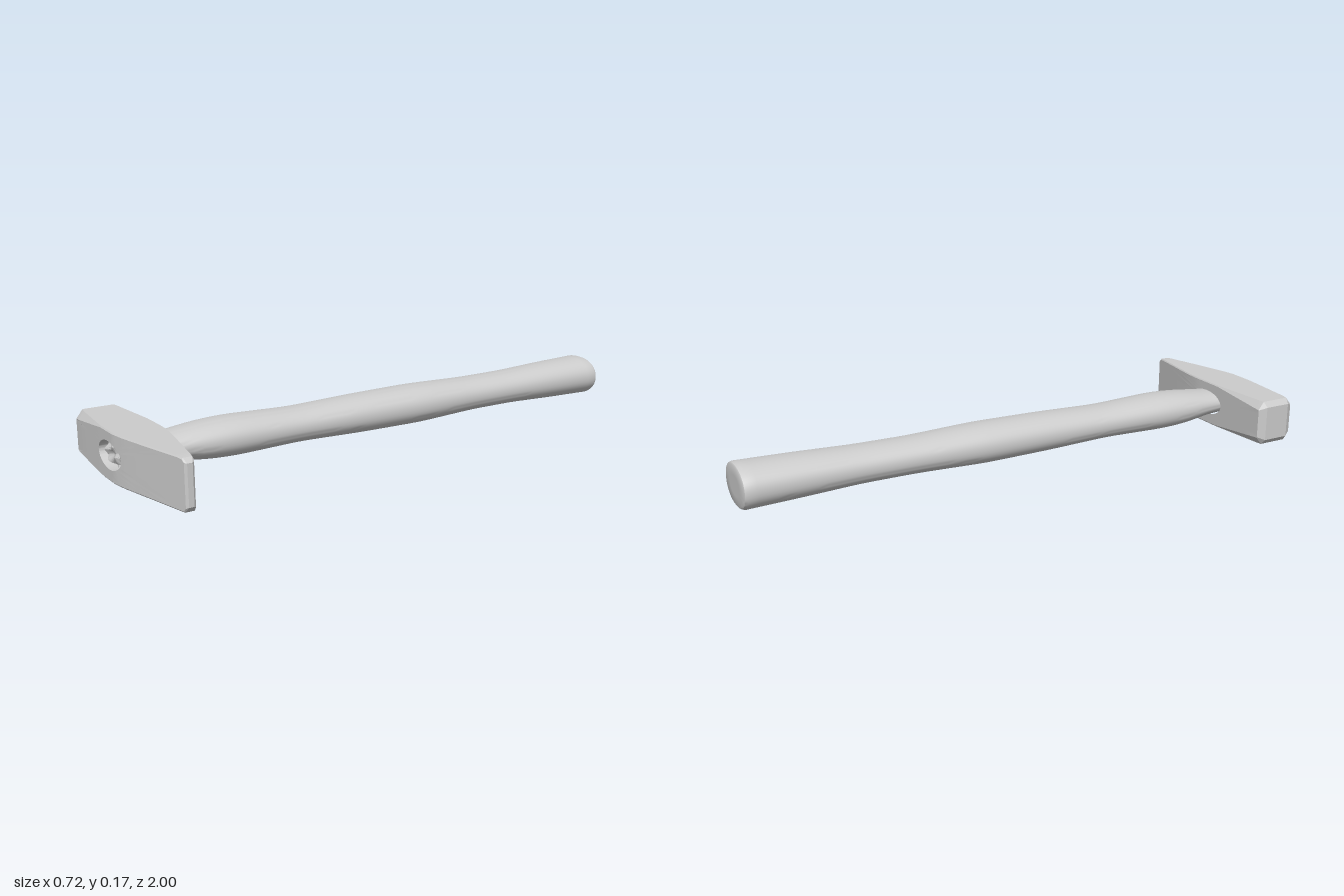
import * as THREE from 'three';
import { toCreasedNormals } from 'three/addons/utils/BufferGeometryUtils.js';

const material = new THREE.MeshStandardMaterial({ color: 0xcccccc });

// Piecewise-linear profile through [position, value] pairs
function profile(points) {
  return (p) => {
    if (p <= points[0][0]) return points[0][1];
    for (let i = 1; i < points.length; i++) {
      const [a, va] = points[i - 1], [b, vb] = points[i];
      if (p <= b) return va + ((vb - va) * (p - a)) / (b - a);
    }
    return points[points.length - 1][1];
  };
}

// Skin a list of closed rings, each an array of [x, y, z]
function skin(rings, crease) {
  const n = rings[0].length, index = [];
  for (let i = 0; i < rings.length - 1; i++) {
    for (let j = 0; j < n; j++) {
      const k = (j + 1) % n;
      const a = i * n + j, b = a + n, c = (i + 1) * n + k, d = i * n + k;
      index.push(a, b, c, a, c, d);
    }
  }
  const g = new THREE.BufferGeometry();
  g.setAttribute('position', new THREE.Float32BufferAttribute(rings.flat(2), 3));
  g.setIndex(index);
  return toCreasedNormals(g, crease);
}

const EYE = { x: -0.04, y: 0.088, rx: 0.086, ry: 0.045 };

function headGeometry() {
  const front = profile([[-0.36, 0.975], [-0.32, 0.983], [-0.15, 0.993], [0, 1], [0.06, 0.993], [0.2, 0.968], [0.357, 0.937]]);
  const back = profile([[-0.36, 0.828], [-0.34, 0.825], [0.03, 0.842], [0.1, 0.852], [0.357, 0.908]]);
  const top = profile([[-0.36, 0.145], [-0.343, 0.164], [0, 0.167], [0.34, 0.164], [0.357, 0.148]]);
  const bottom = profile([[-0.36, 0.022], [-0.343, 0.003], [0, 0.005], [0.2, 0.004], [0.342, 0.001], [0.357, 0.018]]);
  const chamfer = profile([[-0.36, 0.03], [-0.1, 0.004], [0.357, 0.004]]);

  // Outline as [x, v], counter-clockwise, v running -1 (bottom) to 1 (top)
  const xs = [-0.36, -0.343];
  for (let i = 1; i <= 34; i++) xs.push(-0.343 + (0.685 * i) / 34);
  xs.push(0.357);
  const outline = xs.map((x) => [x, -1]);
  for (let i = 1; i < 8; i++) outline.push([0.357, -1 + i / 4]);
  outline.push(...[...xs].reverse().map((x) => [x, 1]));
  for (let i = 1; i < 8; i++) outline.push([-0.36, 1 - i / 4]);

  const body = (sign) => outline.map(([x, v]) => {
    const mid = (top(x) + bottom(x)) / 2, half = (top(x) - bottom(x)) / 2;
    const end = x < -0.35 ? 0.015 : 0.006;
    const drop = Math.max(chamfer(x) * 0.8, Math.abs(x) > 0.35 ? end : 0);
    return [x, mid + v * half, sign > 0 ? front(x) - drop : back(x) + drop];
  });
  const edge = outline.map(([x, v]) => {
    const xi = Math.min(0.351, Math.max(-0.344, x)), c = chamfer(xi);
    const lo = bottom(xi) + c, hi = top(xi) - c;
    return [xi, (lo + hi) / 2 + (v * (hi - lo)) / 2];
  });
  const eye = edge.map(([x, y]) => {
    const a = Math.atan2((y - EYE.y) / 0.08, (x - EYE.x) / 0.2);
    return [EYE.x + EYE.rx * Math.cos(a), EYE.y + EYE.ry * Math.sin(a)];
  });
  const face = (t, z) => eye.map(([x, y], j) => {
    const px = x + (edge[j][0] - x) * t, py = y + (edge[j][1] - y) * t;
    return [px, py, z(px)];
  });

  // Eye wall, front face, body, back face
  const steps = [0, 0.08, 0.25, 0.5, 0.75, 1];
  return skin([
    face(0, () => 0.94),
    ...steps.map((t) => face(t, front)),
    body(1), body(-1),
    ...steps.reverse().map((t) => face(t, back)),
  ], 0.3);
}

function handleGeometry() {
  // Sections: z, left x, right x, bottom y, top y
  const sections = [
    [-1, -0.112, 0.084, 0.02, 0.156], [-0.988, -0.117, 0.088, 0.014, 0.16],
    [-0.8, -0.111, 0.079, 0.019, 0.156], [-0.6, -0.106, 0.07, 0.027, 0.148],
    [-0.4, -0.109, 0.066, 0.027, 0.147], [-0.15, -0.118, 0.073, 0.018, 0.155],
    [0.1, -0.117, 0.067, 0.021, 0.152], [0.35, -0.116, 0.059, 0.029, 0.144],
    [0.6, -0.127, 0.065, 0.023, 0.153], [0.7, -0.125, 0.06, 0.028, 0.148],
    [0.79, -0.115, 0.05, 0.042, 0.137], [0.84, -0.111, 0.045, 0.047, 0.131],
    [0.975, -0.112, 0.043, 0.047, 0.13],
  ];
  const curves = [1, 2, 3, 4].map((k) => profile(sections.map((s) => [s[0], s[k]])));
  const smooth = (f, z) => (z < -0.95 || z > 0.86 ? f(z)
    : (f(z - 0.04) + f(z - 0.02) + f(z) + f(z + 0.02) + f(z + 0.04)) / 5);
  const N = 48;
  const ring = (z, scale = 1, bump = 0) => {
    const [l, r, b, t] = curves.map((f) => smooth(f, z));
    return Array.from({ length: N }, (_, j) => {
      const a = (j / N) * Math.PI * 2, c = Math.cos(a), s = Math.sin(a);
      const round = (v) => Math.sign(v) * Math.abs(v) ** 0.92;
      const x = (l + r) / 2 + ((r - l) / 2) * scale * round(c);
      const y = (b + t) / 2 + ((t - b) / 2) * scale * round(s);
      return [x, y, z + bump * (Math.sin(x * 95 + y * 60) + Math.sin(y * 170 - x * 50))];
    });
  };
  // Rough end grain in the eye, shaft, then slightly domed butt
  const rings = [0, 0.25, 0.5, 0.75, 0.93].map((s) => ring(0.975, s, 0.004));
  rings.push(ring(0.97));
  for (let i = 0; i <= 60; i++) rings.push(ring(0.95 - (1.938 * i) / 60));
  rings.push(ring(-0.997), ring(-1, 0.95), ring(-1, 0.5), ring(-1, 0));
  return skin(rings, 0.6);
}

export function createModel() {
  const group = new THREE.Group();
  group.name = 'hammer';
  const add = (name, geometry) => {
    const mesh = new THREE.Mesh(geometry, material);
    mesh.name = name;
    group.add(mesh);
  };
  add('head', headGeometry());
  add('handle', handleGeometry());
  return group;
}
